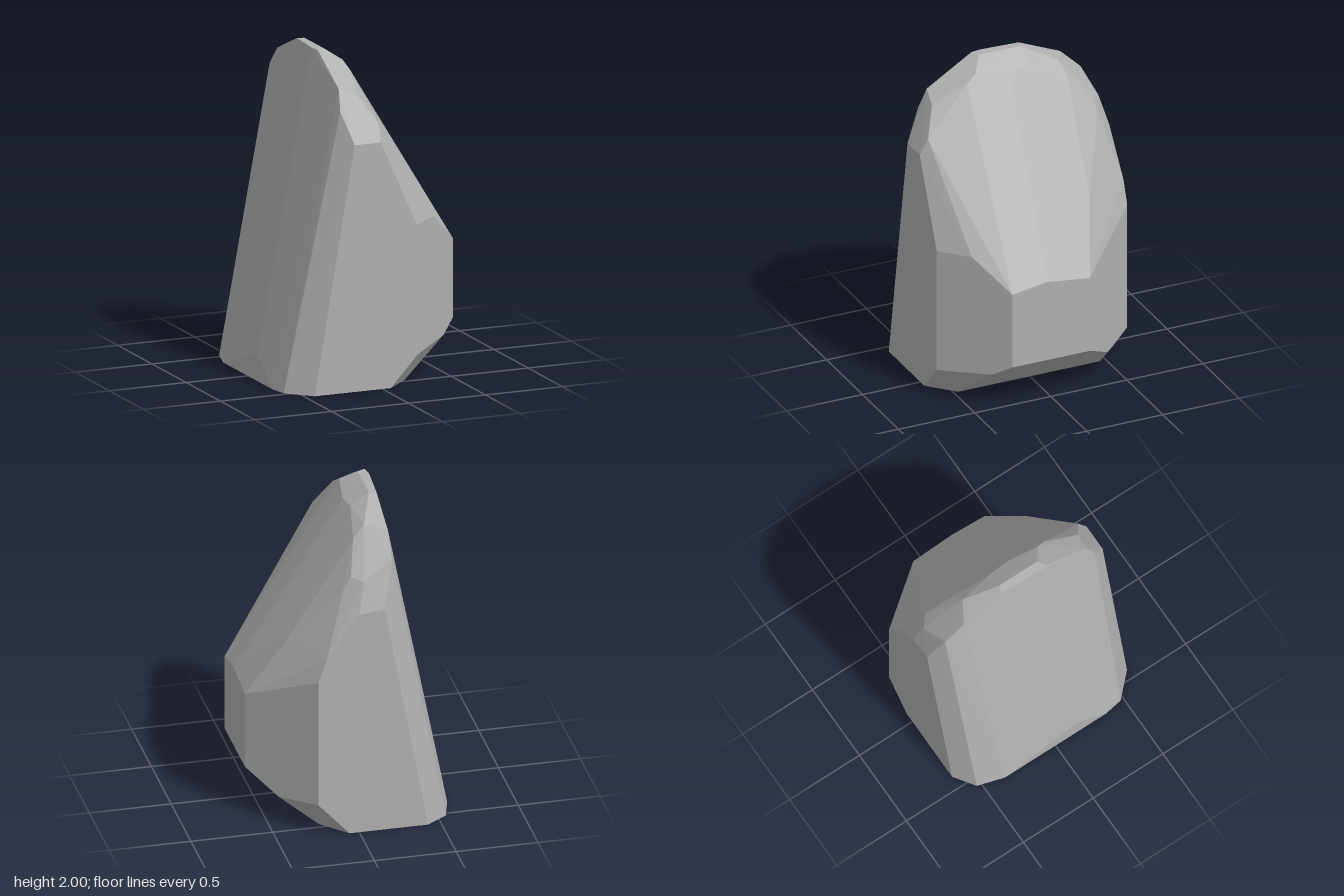
import * as THREE from 'three';
import { ConvexGeometry } from 'three/addons/geometries/ConvexGeometry.js';

// Corners of the faceted boulder, grouped by region: [x, y, z]
const base = [
  [0.21, 0, 0.47], [0.21, 0, -0.46], [0.06, 0, -0.62], [-0.42, 0, -0.62], [-0.55, 0, -0.53],
  [-0.6, 0, -0.36], [-0.6, 0, 0.36], [-0.58, 0, 0.48], [-0.44, 0, 0.62], [0.055, 0, 0.62],
];
const lowerSides = [
  [0.225, 0.185, 0.62], [0.5, 0.23, 0.39], [0.6, 0.305, 0.3], [0.6, 0.305, -0.21],
  [0.44, 0.18, -0.4], [0.25, 0.21, -0.62], [-0.6, 0.165, 0.15],
];
const shoulders = [
  [0.225, 0.98, 0.62], [0.4, 0.985, 0.47], [0.6, 0.79, 0.3], [0.6, 0.825, 0.07],
  [0.6, 0.79, -0.21], [0.357, 1.2, -0.32], [0.25, 1.027, -0.62], [0.2, 1.17, -0.62],
];
const upperRim = [
  [-0.18, 1.51, 0.62], [-0.01, 1.51, 0.62], [0, 1.61, 0.57], [-0.105, 1.775, 0.495],
  [-0.233, 1.7, 0.527], [-0.22, 1.825, 0.475], [-0.062, 1.885, 0.285], [-0.08, 1.933, 0.22],
  [-0.05, 1.91, 0.015], [-0.066, 1.92, -0.12], [-0.026, 1.82, -0.357], [-0.1, 1.9, -0.328],
  [0.026, 1.65, -0.51], [0.07, 1.58, -0.51], [-0.04, 1.64, -0.567], [0, 1.45, -0.62],
  [-0.155, 1.47, -0.62], [-0.22, 1.755, -0.535], [-0.227, 1.88, -0.405],
];
const crest = [
  [-0.237, 2, 0.12], [-0.226, 2, 0.18], [-0.178, 2, 0.155], [-0.178, 2, -0.12], [-0.223, 2, -0.13],
];

export function createModel() {
  const model = new THREE.Group();
  model.name = 'rock';

  const stone = new THREE.MeshStandardMaterial({ color: 0xb0b0b0 });
  stone.name = 'grey stone';

  // Chiselled solid with flat facets
  const corners = [base, lowerSides, shoulders, upperRim, crest]
    .flat()
    .map((p) => new THREE.Vector3(...p));
  const boulder = new THREE.Mesh(new ConvexGeometry(corners), stone);
  boulder.name = 'boulder';
  model.add(boulder);
  return model;
}
